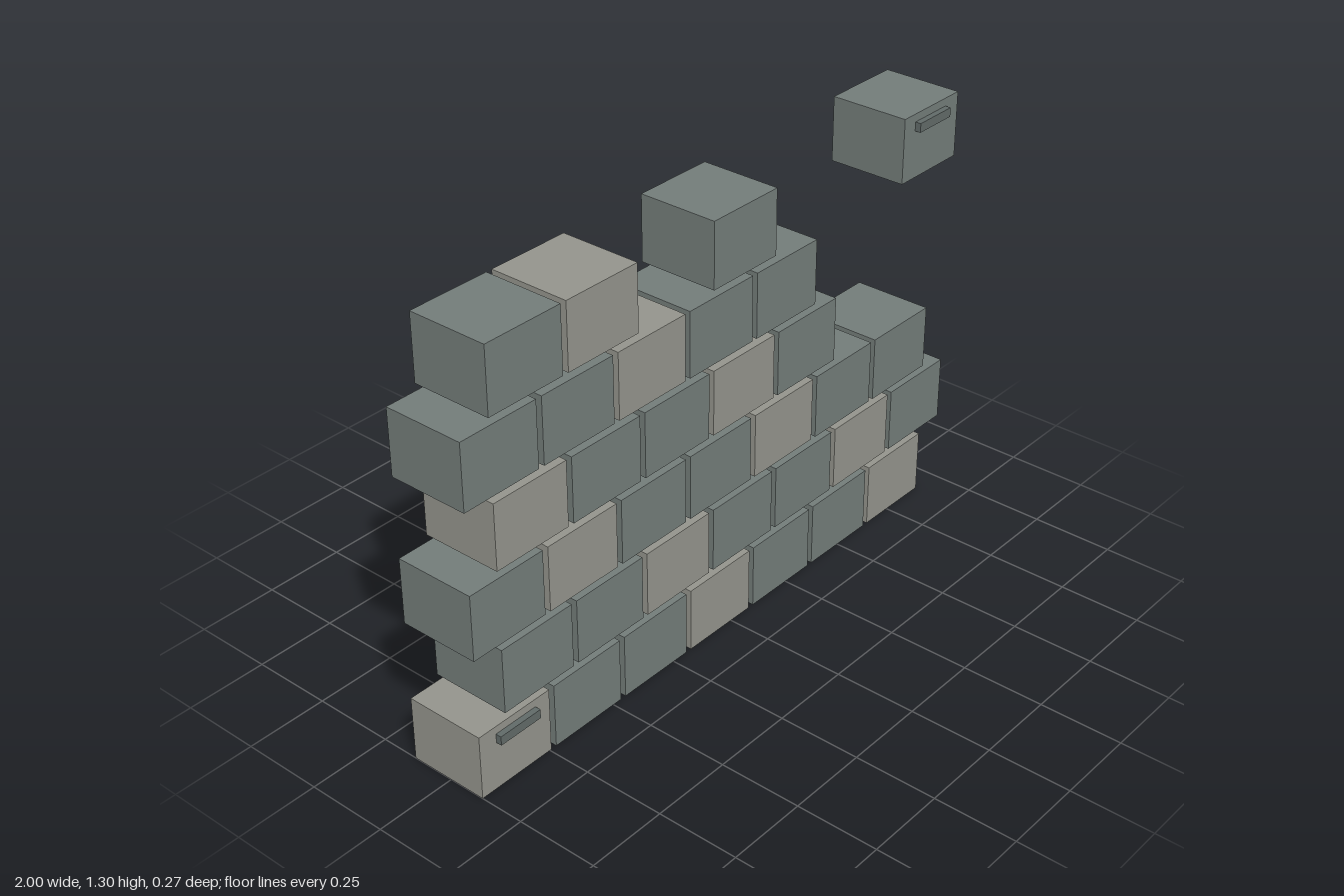
import * as THREE from 'three';

// Block size and spacing
const W = 0.256, H = 0.199, D = 0.248;
const PITCH_X = 0.2747, PITCH_Y = 0.2203, BLOCK_Z = -0.009;

// Filled slots of each course, bottom to top
const COURSES = [
  [0, 1, 2, 3, 4, 5, 6],
  [0, 1, 2, 3, 4, 5, 6],
  [0, 1, 2, 3, 4, 5, 6],
  [0, 1, 2, 3, 4],
  [0, 1, 2, 3, 4],
  [0, 1, 3, 6],
];

export function createModel() {
  const wall = new THREE.Group();
  wall.name = 'brokenBlockWall';

  const darkStone = new THREE.MeshStandardMaterial({ color: 0x737c79 });
  const lightStone = new THREE.MeshStandardMaterial({ color: 0x94948c });
  const barMaterial = new THREE.MeshStandardMaterial({ color: 0x616a68 });

  // Staggered courses of blocks, every third one lighter
  const block = new THREE.BoxGeometry(W, H, D);
  COURSES.forEach((slots, row) => {
    const course = new THREE.Group();
    course.name = `course${row + 1}`;
    const start = row % 2 ? -0.904 : -1;
    for (const slot of slots) {
      const mesh = new THREE.Mesh(block, (slot + row) % 3 === 0 ? lightStone : darkStone);
      mesh.name = `block${slot + 1}`;
      mesh.position.set(start + W / 2 + slot * PITCH_X, H / 2 + row * PITCH_Y, BLOCK_Z);
      course.add(mesh);
    }
    wall.add(course);
  });

  // Small raised bars on two opposite corner blocks
  const bar = new THREE.BoxGeometry(0.145, 0.028, 0.018);
  for (const [name, x, y] of [['lowerBar', -0.868, 0.161], ['upperBar', 0.868, 1.262]]) {
    const mesh = new THREE.Mesh(bar, barMaterial);
    mesh.name = name;
    mesh.position.set(x, y, 0.124);
    wall.add(mesh);
  }
  return wall;
}
